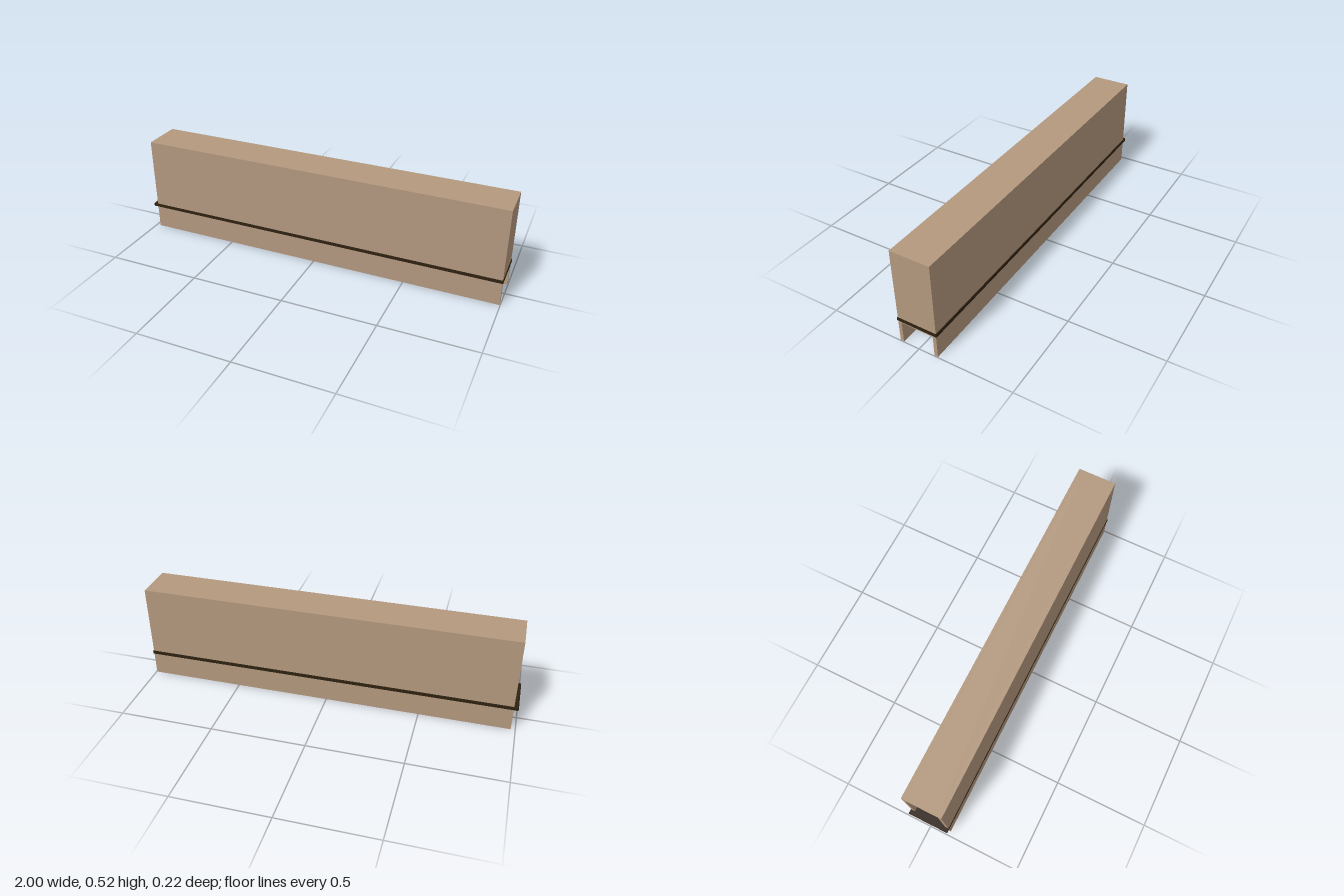
import * as THREE from 'three';

export function createModel() {
  const model = new THREE.Group();
  const wood = new THREE.MeshStandardMaterial({ color: 0xb3987e });
  wood.name = 'light wood';
  const dark = new THREE.MeshStandardMaterial({ color: 0x2e2110 });
  dark.name = 'dark brown';

  // box given by its min and max corners
  const board = (name, mat, [x0, y0, z0], [x1, y1, z1]) => {
    const mesh = new THREE.Mesh(new THREE.BoxGeometry(x1 - x0, y1 - y0, z1 - z0), mat);
    mesh.position.set((x0 + x1) / 2, (y0 + y1) / 2, (z0 + z1) / 2);
    mesh.name = name;
    model.add(mesh);
  };

  const left = 0.997, right = -0.977, top = 0.524, t = 0.019;
  const front = 0.107, back = -0.104;

  // long side panels, reaching the floor
  board('frontPanel', wood, [right, 0, front - t], [left, top, front]);
  board('backPanel', wood, [right, 0, back], [left, top, back + t]);

  // lid and the single closed end, fitted between the sides
  board('topPanel', wood, [right, top - t, back + t], [left, top, front - t]);
  board('endPanel', wood, [left - t, 0.117, back + t], [left, top - t, front - t]);

  // dark shelf, passing just beyond the panels and out of the open end
  board('shelf', dark, [-1, 0.126, -0.109], [1, 0.143, 0.11]);

  return model;
}
